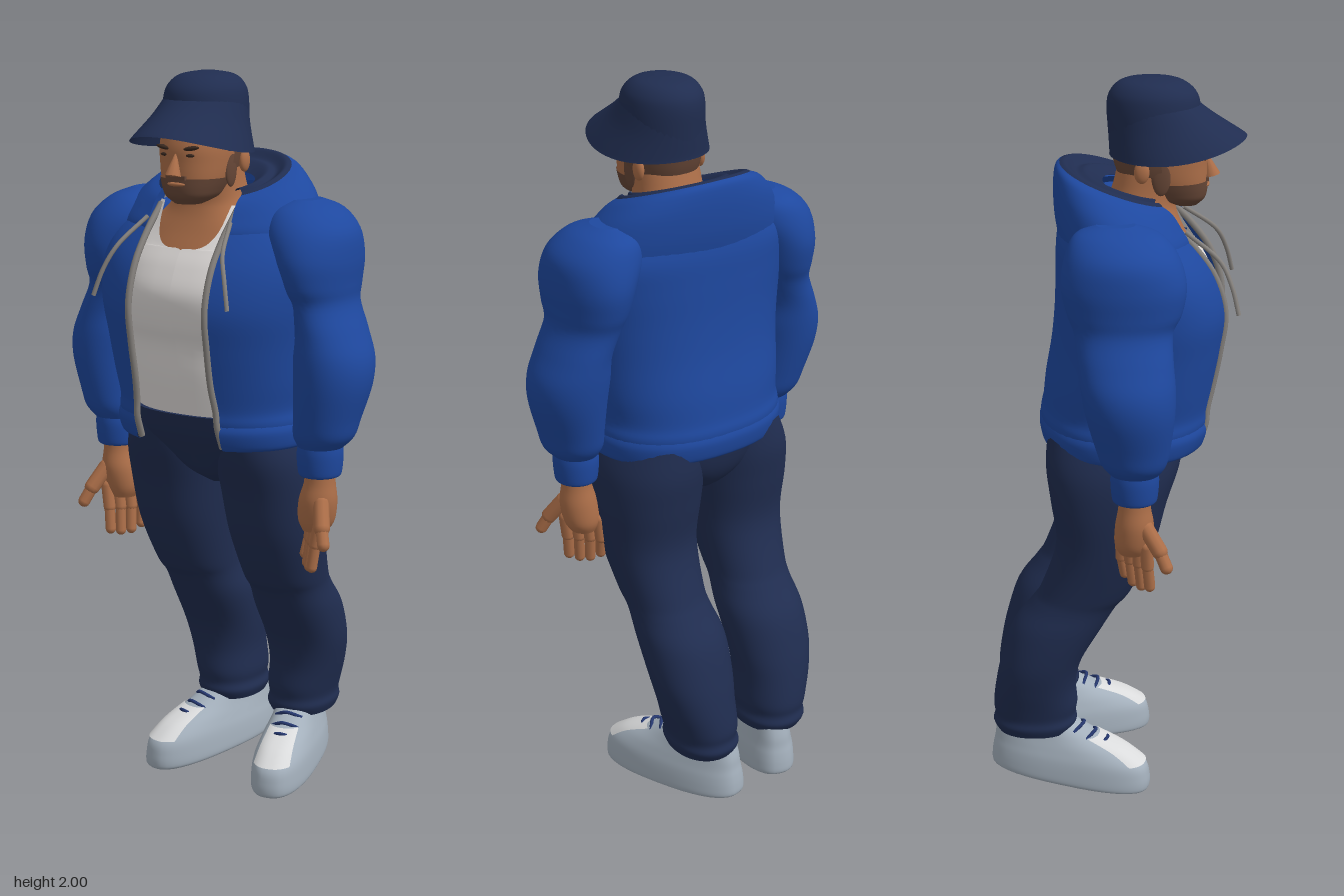
import * as THREE from 'three';

const flat = (name, color) => {
  const m = new THREE.MeshStandardMaterial({ color, side: THREE.DoubleSide });
  m.name = name;
  return m;
};
const V = (x, y, z) => new THREE.Vector3(x, y, z);

// Smooth in-between rings through the given cross-sections
function refine(rings, sub) {
  const out = [], last = rings.length - 1;
  const at = (i) => rings[Math.min(last, Math.max(0, i))];
  for (let i = 0; i < last; i++) for (let k = 0; k < sub; k++) {
    const t = k / sub;
    out.push([0, 1, 2, 3, 4, 5, 6, 7].map((c) => {
      const [p, q, r, s] = [i - 1, i, i + 1, i + 2].map((j) => at(j)[c] ?? 0);
      return q + 0.5 * t * (r - p + t * (2 * p - 5 * q + 4 * r - s + t * (3 * (q - r) + s - p)));
    }));
  }
  out.push(rings[last]);
  return out;
}

// Point on a ring [y, cx, cz, rx, rz, tilt, sag, gap] at an angle from the front
function ringPoint([y, cx, cz, rx, rz, tilt = 0, sag = 0], a, n) {
  const pw = (v) => Math.sign(v) * Math.abs(v) ** (2 / n);
  const s = pw(Math.sin(a)), c = pw(Math.cos(a));
  return [cx + rx * s, y + tilt * rz * c - sag * s * s, cz + rz * c];
}
const gapAngle = (r, n) => Math.asin(Math.min(1, Math.max(0, r[7] ?? 0) / r[3]) ** (n / 2));

// Skin over rings listed bottom to top; "gap" opens the front, "arc" keeps only the front
function loft(rings, { segs = 40, n = 2, sub = 5, cap = true, open = false, arc = 0 } = {}) {
  const rows = refine(rings, sub);
  if (cap && !open && !arc) {
    const dot = (r) => [r[0], r[1], r[2], 1e-4, 1e-4, 0, 0, 0];
    const a = rows[0], b = rows[rows.length - 1];
    rows.unshift(dot(a), a);
    rows.push(b, dot(b));
  }
  const wrap = !open && !arc, cols = wrap ? segs : segs + 1;
  const pos = [], idx = [];
  rows.forEach((r, i) => {
    const g = open ? gapAngle(r, n) : 0;
    const a0 = arc ? -arc : g, a1 = arc || 2 * Math.PI - g;
    for (let j = 0; j < cols; j++) pos.push(...ringPoint(r, a0 + (a1 - a0) * j / segs, n));
    if (i) for (let j = 0; j < segs; j++) {
      const k = (j + 1) % (wrap ? segs : cols), p = (i - 1) * cols, q = i * cols;
      idx.push(p + j, p + k, q + j, p + k, q + k, q + j);
    }
  });
  const geo = new THREE.BufferGeometry();
  geo.setAttribute('position', new THREE.Float32BufferAttribute(pos, 3));
  geo.setIndex(idx);
  geo.computeVertexNormals();
  return geo;
}

const tube = (pts, r, segs = 24) => new THREE.TubeGeometry(new THREE.CatmullRomCurve3(pts), segs, r, 8);

export function createModel() {
  const root = new THREE.Group();
  const blue = flat('jacketBlue', 0x1e489f), navy = flat('navyCloth', 0x202d50);
  const skin = flat('skin', 0xad6f49), white = flat('shirtWhite', 0xe2dedc);
  const grey = flat('shoeGrey', 0xa4b0bc), pale = flat('toePale', 0xdadbdc);
  const beard = flat('stubble', 0x674737), cord = flat('cordGrey', 0x85817d);
  const dark = flat('darkHair', 0x38281f), lace = flat('laceBlue', 0x25376e);

  const add = (name, geo, mat, parent = root) => {
    const m = new THREE.Mesh(geo, mat);
    m.name = name;
    parent.add(m);
    return m;
  };
  const ball = (name, p, s, mat) => {
    const m = add(name, new THREE.SphereGeometry(1, 20, 14), mat);
    m.position.set(...p);
    m.scale.set(...s);
    return m;
  };
  const limb = (name, a, b, r, mat) => {
    const d = b.clone().sub(a);
    const m = add(name, new THREE.CapsuleGeometry(r, d.length(), 5, 10), mat);
    m.position.copy(a).addScaledVector(d, 0.5);
    m.quaternion.setFromUnitVectors(V(0, 1, 0), d.normalize());
  };

  // Shirt with a scooped neckline, over the chest and neck
  add('shirt', loft([
    [1.07, 0, .02, .23, .2], [1.2, 0, .04, .24, .202], [1.29, 0, .05, .25, .2], [1.35, 0, .06, .26, .21],
    [1.43, 0, .067, .27, .213], [1.5, 0, .06, .27, .195], [1.545, 0, .052, .255, .177], [1.55, 0, .05, .25, .175, 0, 0, .045],
    [1.565, 0, .047, .242, .168, 0, 0, .075], [1.6, 0, .042, .22, .152, 0, 0, .095],
    [1.66, 0, .03, .17, .135, 0, 0, .105]], { open: true, n: 2.3 }), white);
  add('neck', loft([
    [1.46, 0, .06, .24, .19], [1.53, 0, .05, .235, .17], [1.59, 0, .045, .2, .145],
    [1.64, 0, .05, .135, .12], [1.68, 0, .075, .1, .09], [1.76, 0, .095, .09, .085]], { n: 2.2 }), skin);

  // Head, cropped hair, stubble and face
  add('head', loft([
    [1.668, 0, .185, .033, .035], [1.685, 0, .165, .063, .073], [1.72, 0, .145, .084, .1],
    [1.77, 0, .127, .095, .12], [1.82, 0, .12, .098, .126], [1.9, 0, .11, .09, .11]], { n: 2.3 }), skin);
  add('croppedHair', loft([
    [1.755, 0, .13, .097, .121, 0, 0, .2], [1.78, 0, .126, .1, .125, 0, 0, .2],
    [1.83, 0, .119, .102, .129, 0, 0, .2]], { n: 2.3, open: true }), beard);
  add('chinStubble', loft([
    [1.664, 0, .185, .035, .038], [1.683, 0, .165, .066, .077], [1.705, 0, .153, .079, .095],
    [1.732, 0, .141, .09, .108]], { n: 2.3, arc: 1.75 }), beard);
  ball('lips', [0, 1.718, .245], [.028, .006, .009], skin);
  const nose = add('nose', new THREE.ConeGeometry(.022, .065, 10), skin);
  nose.position.set(0, 1.772, .252);
  nose.rotation.x = -.25;
  add('moustache', new THREE.BoxGeometry(.06, .01, .008), beard).position.set(0, 1.735, .247);
  for (const s of [1, -1]) {
    ball('ear', [s * .1, 1.77, .075], [.012, .03, .02], skin);
    ball('sideburn', [s * .09, 1.76, .125], [.009, .055, .026], beard);
    ball('eye', [s * .037, 1.793, .239], [.015, .005, .006], dark);
    ball('eyebrow', [s * .04, 1.811, .238], [.026, .006, .01], dark).rotation.z = s * .15;
  }

  // Bucket cap with a long sloping front brim
  add('hatCrown', loft([
    [1.8, 0, .105, .105, .113], [1.87, 0, .107, .11, .121], [1.93, 0, .105, .107, .122],
    [1.965, 0, .103, .097, .11], [1.99, 0, .1, .07, .078], [2, 0, .1, .02, .025]]), navy);
  add('hatBrim', loft([
    [1.822, 0, .17, .155, .18, .14, .02], [1.835, 0, .162, .148, .172, .14, .018],
    [1.88, 0, .13, .122, .143, .12, .005], [1.93, 0, .106, .105, .121, 0, 0]], { cap: false, segs: 48 }), navy);

  // Open jacket, hem and zip
  const coat = [
    [1.03, 0, .03, .27, .215, 0, 0, .13], [1.09, 0, .035, .28, .232, 0, 0, .128], [1.13, 0, .04, .275, .23, 0, 0, .126],
    [1.2, 0, .05, .285, .232, 0, 0, .12], [1.3, 0, .067, .295, .232, 0, 0, .12], [1.4, 0, .076, .31, .232, 0, 0, .12],
    [1.5, 0, .062, .32, .215, 0, 0, .12], [1.58, 0, .035, .305, .185, 0, 0, .12],
    [1.65, 0, .01, .23, .145, 0, 0, .12], [1.69, 0, 0, .18, .13, 0, 0, .12]];
  add('jacketBody', loft(coat, { open: true, n: 2.3, segs: 56 }), blue);
  add('jacketHem', loft([
    [1.02, 0, .03, .268, .212, 0, 0, .135], [1.03, 0, .032, .28, .226, 0, 0, .135],
    [1.07, 0, .035, .285, .236, 0, 0, .135], [1.095, 0, .036, .277, .23, 0, 0, .135]], { open: true, n: 2.3 }), blue);
  for (const s of [1, -1]) {
    const edge = coat.slice(0, 9).map((r) => V(...ringPoint(r, s * gapAngle(r, 2.3), 2.3)));
    add('zip', tube(edge, .009, 40), cord);
    add('drawstring', tube([V(s * .13, 1.62, .19), V(s * .165, 1.55, .28), V(s * .19, 1.49, .31), V(s * .21, 1.42, .328)], .006), cord);
  }

  // Hood lying on the shoulders, its lining folded in around the neck
  const rim = [1.725, 0, .014, .182, .155, -.34, 0, .125];
  add('hood', loft([
    [1.57, 0, .035, .305, .18, -.1, 0, .13], [1.62, 0, .03, .29, .185, -.15, 0, .13],
    [1.67, 0, .02, .26, .178, -.25, 0, .128], [1.71, 0, .015, .216, .168, -.32, 0, .125], rim], { open: true, n: 2.1 }), blue);
  add('hoodLining', loft([
    rim, [1.73, 0, .018, .168, .142, -.34, 0, .122], [1.715, 0, .028, .147, .126, -.32, 0, .115],
    [1.722, 0, .042, .13, .11, -.3, 0, .105], [1.705, 0, .06, .108, .088, -.25, 0, .09]], { open: true, n: 2.1 }), navy);

  // Trousers seat
  add('trouserSeat', loft([
    [.885, 0, -.01, .02, .08], [.92, 0, -.005, .09, .13], [.97, 0, 0, .19, .165],
    [1.04, 0, .015, .258, .197], [1.105, 0, .025, .25, .212]], { n: 2.3 }), navy);

  for (const s of [1, -1]) {
    // Sleeve: swelling shoulder, forearm and cuff
    add('sleeve', loft([
      [1.03, s * .332, .06, .06, .065], [1.06, s * .34, .058, .08, .085], [1.11, s * .348, .055, .087, .098],
      [1.2, s * .36, .048, .1, .115], [1.27, s * .358, .042, .102, .122], [1.34, s * .345, .035, .087, .123],
      [1.41, s * .318, .03, .084, .127], [1.46, s * .308, .032, .094, .148], [1.53, s * .3, .03, .106, .16],
      [1.6, s * .28, .025, .115, .145], [1.65, s * .262, .015, .085, .11], [1.674, s * .255, .01, .035, .05]], { n: 2.05 }), blue);
    add('cuff', loft([
      [.95, s * .33, .06, .052, .054], [.96, s * .33, .06, .058, .06], [1.01, s * .33, .06, .062, .064],
      [1.045, s * .332, .06, .056, .06]]), blue);

    // Hand with palm, four fingers and thumb
    add('palm', loft([
      [.795, s * .315, .055, .034, .036], [.825, s * .318, .055, .05, .048], [.88, s * .325, .06, .052, .051],
      [.93, s * .33, .06, .042, .043], [.97, s * .33, .06, .04, .042]], { segs: 24 }), skin);
    for (let i = 0; i < 4; i++) {
      const base = V(s * (.283 + i * .022), .825, .025 + i * .022);
      const mid = V(s * (.276 + i * .021), .765, .026 + i * .023);
      const tip = V(s * (.272 + i * .02), [.715, .7, .697, .703][i], .035 + i * .022);
      limb('fingerBase', base, mid, .0175, skin);
      limb('fingerTip', mid, tip, .015, skin);
    }
    limb('thumbBase', V(s * .352, .88, .09), V(s * .376, .825, .126), .022, skin);
    limb('thumbTip', V(s * .376, .825, .126), V(s * .392, .785, .144), .017, skin);

    // Trouser leg leaning back toward the ankle, gathered at the hem
    add('trouserLeg', loft([
      [.165, s * .12, -.22, .085, .105], [.19, s * .12, -.22, .094, .118], [.215, s * .122, -.219, .09, .114],
      [.25, s * .124, -.218, .096, .118], [.32, s * .135, -.215, .104, .112], [.4, s * .14, -.197, .115, .113],
      [.5, s * .14, -.152, .118, .125], [.57, s * .143, -.105, .109, .12], [.62, s * .146, -.07, .112, .125],
      [.75, s * .15, -.02, .128, .134], [.88, s * .149, -.01, .141, .158], [.98, s * .142, 0, .142, .18],
      [1.07, s * .125, .012, .125, .185]], { n: 2.2 }), navy);

    // Sneaker, turned outward
    const shoe = new THREE.Group();
    shoe.name = 'shoe';
    shoe.position.set(s * .137, .016, -.12);
    shoe.rotation.y = s * .26;
    root.add(shoe);
    const upper = [
      [0, 0, 0, .074, .22, -.07], [.01, 0, 0, .084, .231, -.07], [.04, 0, 0, .084, .231, -.055],
      [.075, 0, -.005, .08, .222, -.03], [.105, 0, -.03, .072, .192, 0],
      [.135, 0, -.068, .063, .15, .02], [.165, 0, -.095, .056, .115, .04], [.19, 0, -.11, .052, .09, .04]];
    add('shoeBody', loft(upper, { n: 2.5 }), grey, shoe);
    add('toeCap', loft(upper.slice(3, 6).map(([y, x, z, a, b, t]) => [y + .003, x, z, a + .003, b + .003, t]),
      { n: 2.5, arc: .6, segs: 20 }), pale, shoe);
    for (let i = 0; i < 4; i++) {
      const y = .128 + i * .019, z = .11 - i * .035;
      add('lace', tube([V(-.038, y - .012, z - .02), V(0, y + .006, z), V(.038, y - .012, z - .02)], .005, 10), lace, shoe);
    }
  }
  return root;
}
